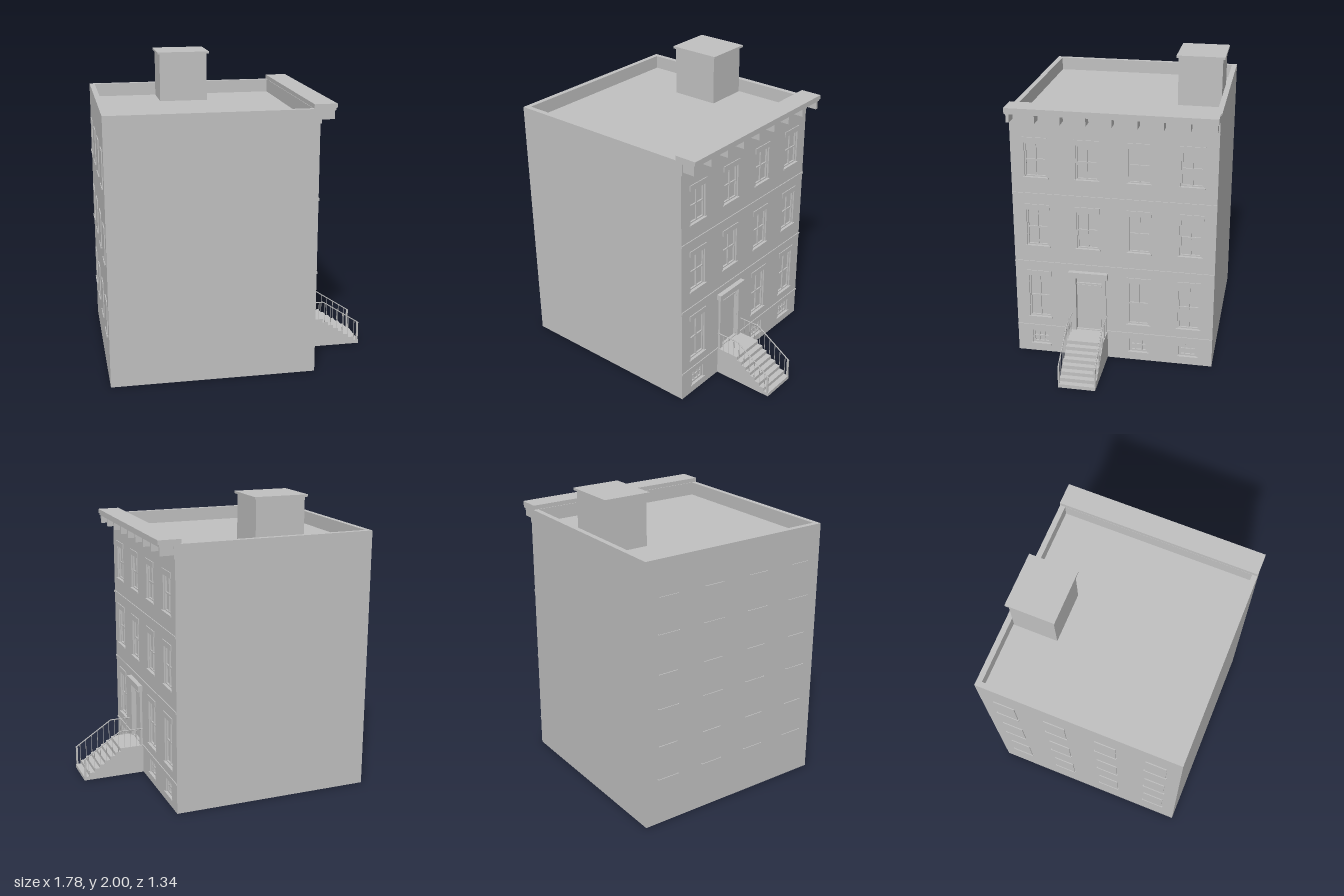
import * as THREE from 'three';

const stone = new THREE.MeshStandardMaterial({ color: 0xc0c0c0 });
stone.name = 'grey stone';

const WALL = 0.46, GLASS = 0.437, BACK = -0.88, HALF = 0.67, ROOF = 1.66, TOP = 1.75;
const COLUMNS = [0.507, 0.17, -0.17, -0.507];

export function createModel() {
  const model = new THREE.Group();
  model.name = 'townhouse';

  const add = (name, geometry, parent = model) => {
    const mesh = new THREE.Mesh(geometry, stone);
    mesh.name = name;
    parent.add(mesh);
    return mesh;
  };
  const box = (name, x0, x1, y0, y1, z0, z1, parent) => {
    const g = new THREE.BoxGeometry(x1 - x0, y1 - y0, z1 - z0);
    g.translate((x0 + x1) / 2, (y0 + y1) / 2, (z0 + z1) / 2);
    return add(name, g, parent);
  };
  const group = (name) => {
    const g = new THREE.Group();
    g.name = name;
    model.add(g);
    return g;
  };

  // Main block, with a parapet around the sunken roof
  box('mainBlock', BACK, GLASS, 0, ROOF, -HALF, HALF);
  box('backParapet', BACK, -0.845, ROOF, TOP, -HALF, HALF);
  box('frontParapet', 0.42, GLASS, ROOF, TOP, -HALF, HALF);
  for (const s of [-1, 1]) {
    box('sideParapet', -0.845, 0.42, ROOF, TOP, Math.min(s * 0.635, s * HALF), Math.max(s * 0.635, s * HALF));
  }

  // Openings of the street wall: centre z, width, bottom, top
  const openings = [];
  for (const [bottom, top] of [[1.29, 1.525], [0.805, 1.065], [0.27, 0.583]]) {
    for (const z of COLUMNS) {
      if (bottom < 0.5 && z === 0.17) continue;
      openings.push({ z, w: 0.146, bottom, top, bars: 1 });
    }
  }
  for (const z of [0.507, -0.17, -0.507]) {
    openings.push({ z, w: 0.122, bottom: 0.06, top: 0.16, bars: 2 });
  }
  const door = { z: 0.167, w: 0.175, bottom: 0.2, top: 0.6 };

  // Street wall, pierced by the windows and the door
  const rect = (p, x0, x1, y0, y1) => {
    p.moveTo(x0, y0);
    p.lineTo(x1, y0);
    p.lineTo(x1, y1);
    p.lineTo(x0, y1);
    p.closePath();
    return p;
  };
  const wall = rect(new THREE.Shape(), -HALF, HALF, 0, TOP);
  for (const o of [...openings, door]) {
    wall.holes.push(rect(new THREE.Path(), -o.z - o.w / 2, -o.z + o.w / 2, o.bottom, o.top));
  }
  const wallGeometry = new THREE.ExtrudeGeometry(wall, { depth: WALL - GLASS, bevelEnabled: false });
  wallGeometry.rotateY(Math.PI / 2).translate(GLASS, 0, 0);
  add('streetWall', wallGeometry);

  // Street windows: frame, glazing bars, sill and lintel
  for (const { z, w, bottom, top, bars } of openings) {
    const win = group('window');
    const z0 = z - w / 2, z1 = z + w / 2, f = bars === 2 ? 0.014 : 0.01, x = GLASS + 0.012;
    const mid = (bottom + top) / 2;
    box('frameSide', GLASS, x, bottom, top, z0, z0 + f, win);
    box('frameSide', GLASS, x, bottom, top, z1 - f, z1, win);
    box('frameTop', GLASS, x, top - f, top, z0 + f, z1 - f, win);
    box('frameBottom', GLASS, x, bottom, bottom + f, z0 + f, z1 - f, win);
    box('rail', GLASS, x - 0.003, mid - 0.005, mid + 0.005, z0 + f, z1 - f, win);
    for (let i = 1; i <= bars; i++) {
      const c = z0 + (w * i) / (bars + 1);
      box('glazingBar', GLASS, x - 0.002, bottom + f, top - f, c - 0.004, c + 0.004, win);
    }
    box('sill', GLASS, WALL + 0.009, bottom - 0.008, bottom + 0.002, z0 - 0.01, z1 + 0.01, win);
    if (bars === 1) box('lintel', WALL - 0.005, WALL + 0.006, top, top + 0.037, z0 - 0.01, z1 + 0.01, win);
  }

  // Rear windows: shallow blind plates with sills
  for (const [bottom, top] of [[1.285, 1.52], [0.8, 1.03], [0.315, 0.547]]) {
    for (const z of COLUMNS) {
      const win = group('rearWindow');
      box('plate', BACK - 0.006, BACK, bottom, top, z - 0.07, z + 0.07, win);
      box('sill', BACK - 0.011, BACK, bottom - 0.006, bottom + 0.004, z - 0.077, z + 0.077, win);
    }
  }

  // Horizontal bands across the street wall
  for (const [y0, y1] of [[0.195, 0.206], [0.675, 0.69], [1.165, 1.18]]) {
    box('beltCourse', WALL - 0.005, WALL + 0.006, y0, y1, -HALF, HALF);
  }

  // Cornice with brackets
  box('frieze', WALL - 0.005, WALL + 0.008, 1.66, 1.74, -HALF, HALF);
  box('cornice', 0.425, 0.558, 1.737, 1.77, -HALF, HALF);
  box('corniceCap', 0.42, 0.567, 1.752, 1.78, -HALF, HALF);
  for (let i = -4; i <= 4; i++) {
    const z = i * 0.163;
    box('bracket', WALL, 0.553, 1.682, 1.74, z - 0.01, z + 0.01);
  }

  // Rooftop stair housing
  box('roofHousing', -0.41, -0.08, ROOF, 1.985, -0.63, -0.338);
  box('roofHousingCap', -0.424, -0.064, 1.985, 2, -0.645, -0.325);

  // Door and its surround
  const entry = group('entrance');
  box('doorPanel', GLASS, GLASS + 0.006, 0.2, 0.53, 0.087, 0.247, entry);
  box('transomBar', GLASS, GLASS + 0.012, 0.535, 0.547, 0.08, 0.254, entry);
  box('pilaster', WALL - 0.005, 0.476, 0.2, 0.6, 0.254, 0.283, entry);
  box('pilaster', WALL - 0.005, 0.476, 0.2, 0.6, 0.05, 0.079, entry);
  box('doorHood', WALL - 0.005, 0.492, 0.6, 0.64, 0.036, 0.3, entry);

  // Stoop: landing and seven steps in one profile
  const z0 = 0.042, z1 = 0.288, run = 0.0375, rise = 0.025, edge = 0.625;
  const profile = new THREE.Shape();
  profile.moveTo(WALL - 0.01, 0);
  profile.lineTo(WALL - 0.01, 0.2);
  for (let i = 0; i <= 7; i++) {
    profile.lineTo(edge + i * run, 0.2 - i * rise);
    profile.lineTo(edge + i * run, 0.2 - (i + 1) * rise);
  }
  profile.closePath();
  const stoop = new THREE.ExtrudeGeometry(profile, { depth: z1 - z0, bevelEnabled: false });
  stoop.translate(0, 0, z0);
  add('stoop', stoop);

  // Railings
  const bar = (name, a, b, r, parent) => {
    const path = new THREE.LineCurve3(new THREE.Vector3(...a), new THREE.Vector3(...b));
    return add(name, new THREE.TubeGeometry(path, 1, r, 6), parent);
  };
  const railEnd = 0.878, railLow = 0.157, railHigh = 0.324;
  const railY = (x) => railHigh - Math.max(0, (x - edge) / (railEnd - edge)) * (railHigh - railLow);
  const floorY = (x) => (x < edge ? 0.2 : 0.2 - rise * Math.ceil((x - edge) / run));
  for (const z of [z0 + 0.003, z1 - 0.003]) {
    const railing = group('railing');
    bar('handrail', [WALL, railHigh, z], [edge, railHigh, z], 0.004, railing);
    bar('handrail', [edge, railHigh, z], [railEnd + 0.007, railLow - 0.004, z], 0.004, railing);
    for (let i = 0; i < 9; i++) {
      const x = 0.51 + i * 0.043;
      bar('baluster', [x, floorY(x), z], [x, railY(x), z], 0.0022, railing);
    }
    box('endPost', railEnd - 0.006, railEnd + 0.006, 0.02, railLow, z - 0.005, z + 0.005, railing);
  }

  return model;
}
